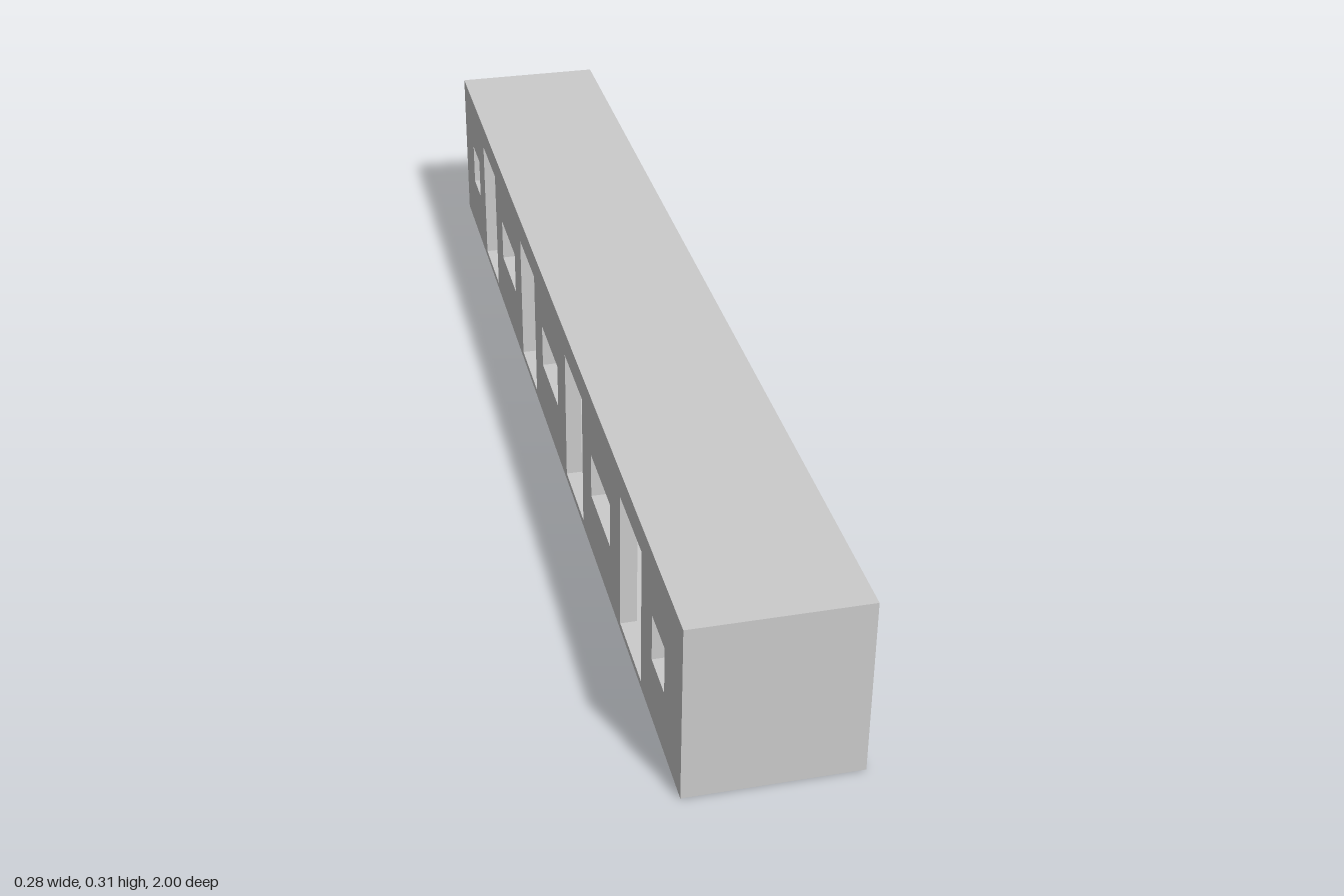
import * as THREE from 'three';

const WIDTH = 0.284, HEIGHT = 0.31, LENGTH = 2;
const WALL = 0.028, SHEET = 0.003;

const material = new THREE.MeshStandardMaterial({ color: 0xcccccc, flatShading: true });

function addBox(group, name, size, position) {
  const mesh = new THREE.Mesh(new THREE.BoxGeometry(...size), material);
  mesh.name = name;
  mesh.position.set(...position);
  group.add(mesh);
}

// Adds a rectangular opening, given its centre along the car, width, sill and head
function cutOpening(shape, centre, width, sill, head) {
  const a = centre - width / 2, b = centre + width / 2;
  shape.holes.push(new THREE.Path([
    new THREE.Vector2(a, sill), new THREE.Vector2(a, head),
    new THREE.Vector2(b, head), new THREE.Vector2(b, sill),
  ]));
}

// Long wall pierced by doors, wide windows and small end windows
function sideWall(name, outerX, windowHead) {
  const half = LENGTH / 2, bottom = SHEET / 2, top = HEIGHT - SHEET;
  const shape = new THREE.Shape([
    new THREE.Vector2(-half, bottom), new THREE.Vector2(half, bottom),
    new THREE.Vector2(half, top), new THREE.Vector2(-half, top),
  ]);
  for (const z of [-0.67, -0.223, 0.223, 0.67]) cutOpening(shape, z, 0.149, 0.014, 0.262);
  for (const z of [-0.445, 0, 0.445]) cutOpening(shape, z, 0.15, 0.113, windowHead);
  for (const z of [-0.855, 0.855]) cutOpening(shape, z, 0.08, 0.113, 0.196);

  const geometry = new THREE.ExtrudeGeometry(shape, { depth: WALL, bevelEnabled: false });
  geometry.rotateY(-Math.PI / 2); // shape runs along z, thickness towards -x
  const mesh = new THREE.Mesh(geometry, material);
  mesh.name = name;
  mesh.position.x = outerX;
  return mesh;
}

export function createModel() {
  const car = new THREE.Group();
  car.name = 'railCarShell';

  // Side walls
  car.add(sideWall('leftWall', WIDTH / 2, 0.203));
  car.add(sideWall('rightWall', -WIDTH / 2 + WALL, 0.196));

  // Closed end walls between the side walls
  const innerWidth = WIDTH - 2 * WALL;
  const wallHeight = HEIGHT - 1.5 * SHEET;
  for (const [name, side] of [['frontWall', 1], ['backWall', -1]]) {
    addBox(car, name, [innerWidth, wallHeight, WALL],
      [0, SHEET / 2 + wallHeight / 2, side * (LENGTH - WALL) / 2]);
  }

  // Thin roof over the walls and thin floor set inside them
  addBox(car, 'roof', [WIDTH, SHEET, LENGTH], [0, HEIGHT - SHEET / 2, 0]);
  addBox(car, 'floor', [innerWidth, SHEET, LENGTH - 2 * WALL], [0, SHEET / 2, 0]);

  return car;
}
